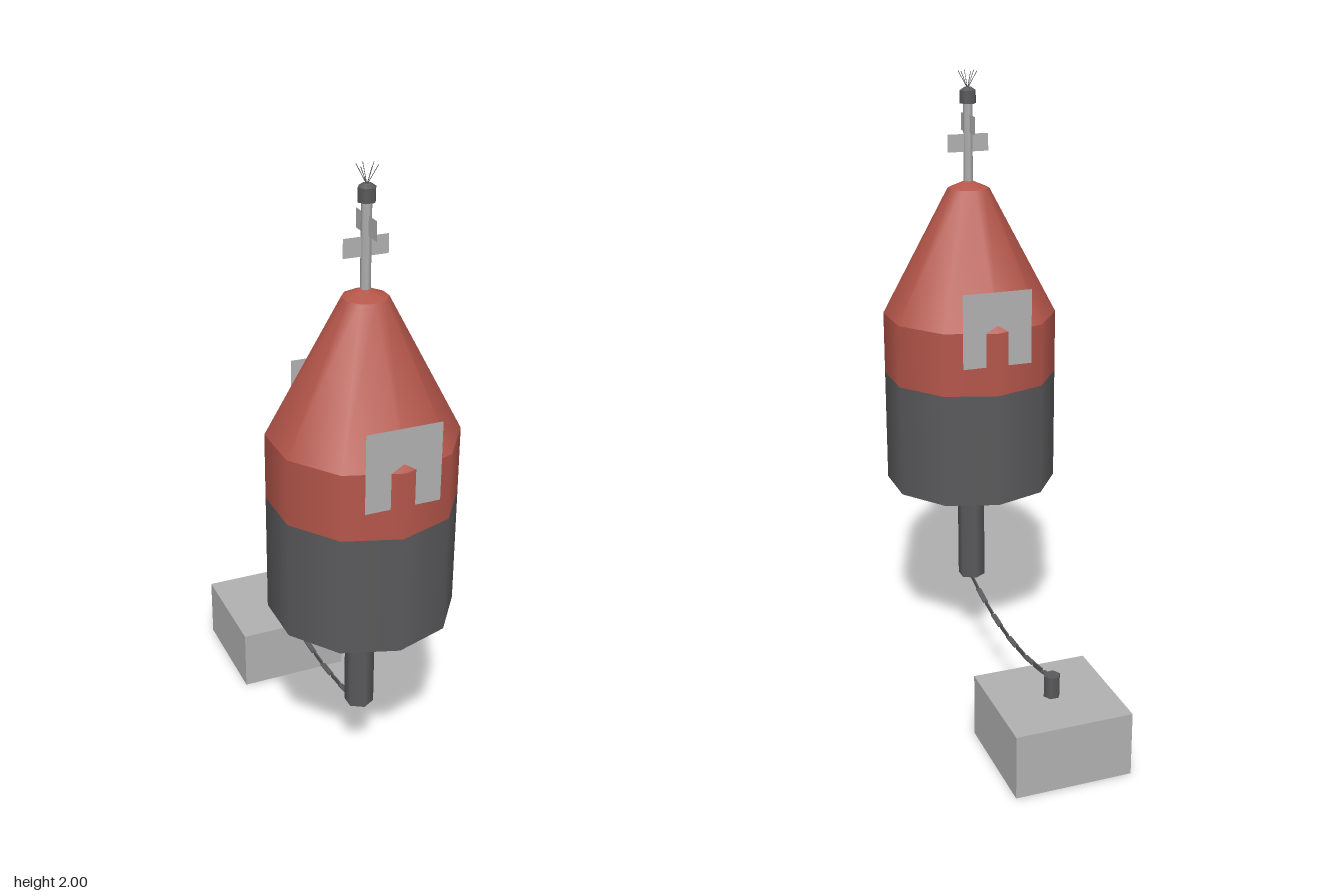
import * as THREE from 'three';

const mat = (name, color, side = THREE.FrontSide) => {
  const m = new THREE.MeshStandardMaterial({ color, side });
  m.name = name;
  return m;
};

export function createModel() {
  const red = mat('buoy red', 0xb5564a);
  const dark = mat('dark grey', 0x5a5a5c);
  const pale = mat('pale grey', 0xb0b0b0, THREE.DoubleSide);

  const model = new THREE.Group();
  model.name = 'mooringBuoy';
  const buoy = new THREE.Group();
  buoy.name = 'buoy';
  buoy.position.z = 0.3225;
  model.add(buoy);

  const add = (parent, name, geometry, material, x = 0, y = 0, z = 0) => {
    const mesh = new THREE.Mesh(geometry, material);
    mesh.name = name;
    mesh.position.set(x, y, z);
    parent.add(mesh);
    return mesh;
  };
  // Upright frustum between two heights
  const column = (parent, name, material, y0, y1, r0, r1, sides, open = false, z = 0) =>
    add(parent, name, new THREE.CylinderGeometry(r1, r0, y1 - y0, sides, 1, open), material, 0, (y0 + y1) / 2, z);

  // Ten-sided float
  const R = 0.283;
  column(buoy, 'hullBottom', dark, 0.636, 0.647, 0.066, R, 10, true);
  column(buoy, 'hullLower', dark, 0.647, 1.02, R, R, 10, true);
  column(buoy, 'hullUpper', red, 1.02, 1.225, R, R, 10, true);
  column(buoy, 'hullCone', red, 1.225, 1.635, R, 0.067, 10, true);
  column(buoy, 'hullCap', red, 1.635, 1.663, 0.067, 0, 10, true);
  add(buoy, 'stemCollar', new THREE.CircleGeometry(0.066, 10).rotateX(Math.PI / 2), pale, 0, 0.636, 0);

  // Hexagonal stem, mast and lantern
  column(buoy, 'stem', dark, 0.277, 0.645, 0.046, 0.046, 6);
  column(buoy, 'mast', pale, 1.64, 1.9, 0.015, 0.015, 6);
  column(buoy, 'lantern', dark, 1.9, 1.94, 0.027, 0.027, 6).rotation.y = Math.PI / 6;
  column(buoy, 'lanternCap', dark, 1.94, 1.95, 0.027, 0.012, 6).rotation.y = Math.PI / 6;

  // Bird spikes fanning out of the lantern
  for (let i = 0; i < 6; i++) {
    const a = (i / 6) * Math.PI * 2;
    const path = new THREE.LineCurve3(
      new THREE.Vector3(0, 1.945, 0),
      new THREE.Vector3(Math.sin(a) * 0.03, 2, Math.cos(a) * 0.03));
    add(buoy, 'spike', new THREE.TubeGeometry(path, 1, 0.001, 4), dark);
  }

  // Crossed radar plates on the mast
  add(buoy, 'radarPlateAcross', new THREE.PlaneGeometry(0.136, 0.056), pale, 0, 1.777, 0);
  add(buoy, 'radarPlateAlong', new THREE.PlaneGeometry(0.136, 0.056), pale, 0, 1.837, 0).rotation.y = Math.PI / 2;

  // Sign panels, pierced by the hull's front and back edges
  for (const s of [1, -1]) {
    const panel = add(buoy, 'signPanel', new THREE.PlaneGeometry(0.228, 0.24), pale, 0, 1.235, s * 0.271);
    if (s < 0) panel.rotation.y = Math.PI;
  }

  // Sinker block, open underneath: drop the bottom face
  const block = new THREE.BoxGeometry(0.37, 0.205, 0.372);
  const index = Array.from(block.index.array);
  index.splice(18, 6);
  block.setIndex(index);
  block.clearGroups();
  add(model, 'sinkerBlock', block, pale, 0, 0.1025, -0.4235);
  column(model, 'mooringPost', dark, 0.205, 0.275, 0.026, 0.026, 6, false, -0.425).rotation.y = Math.PI / 6;

  // Sagging chain of flat links, alternately upright and lying flat
  const chain = new THREE.Group();
  chain.name = 'chain';
  model.add(chain);
  const chainPoint = (t) => new THREE.Vector3(0, 0.212 + 0.054 * (2 * t - 1) ** 2, 0.325 - 0.75 * t);
  for (let i = 0; i < 10; i++) {
    const a = chainPoint(i / 10), b = chainPoint((i + 1) / 10);
    const [w, h] = i % 2 ? [0.017, 0.004] : [0.004, 0.017];
    const link = add(chain, 'chainLink', new THREE.BoxGeometry(w, h, a.distanceTo(b)), dark);
    link.position.copy(a).add(b).multiplyScalar(0.5);
    link.lookAt(b);
  }
  return model;
}
